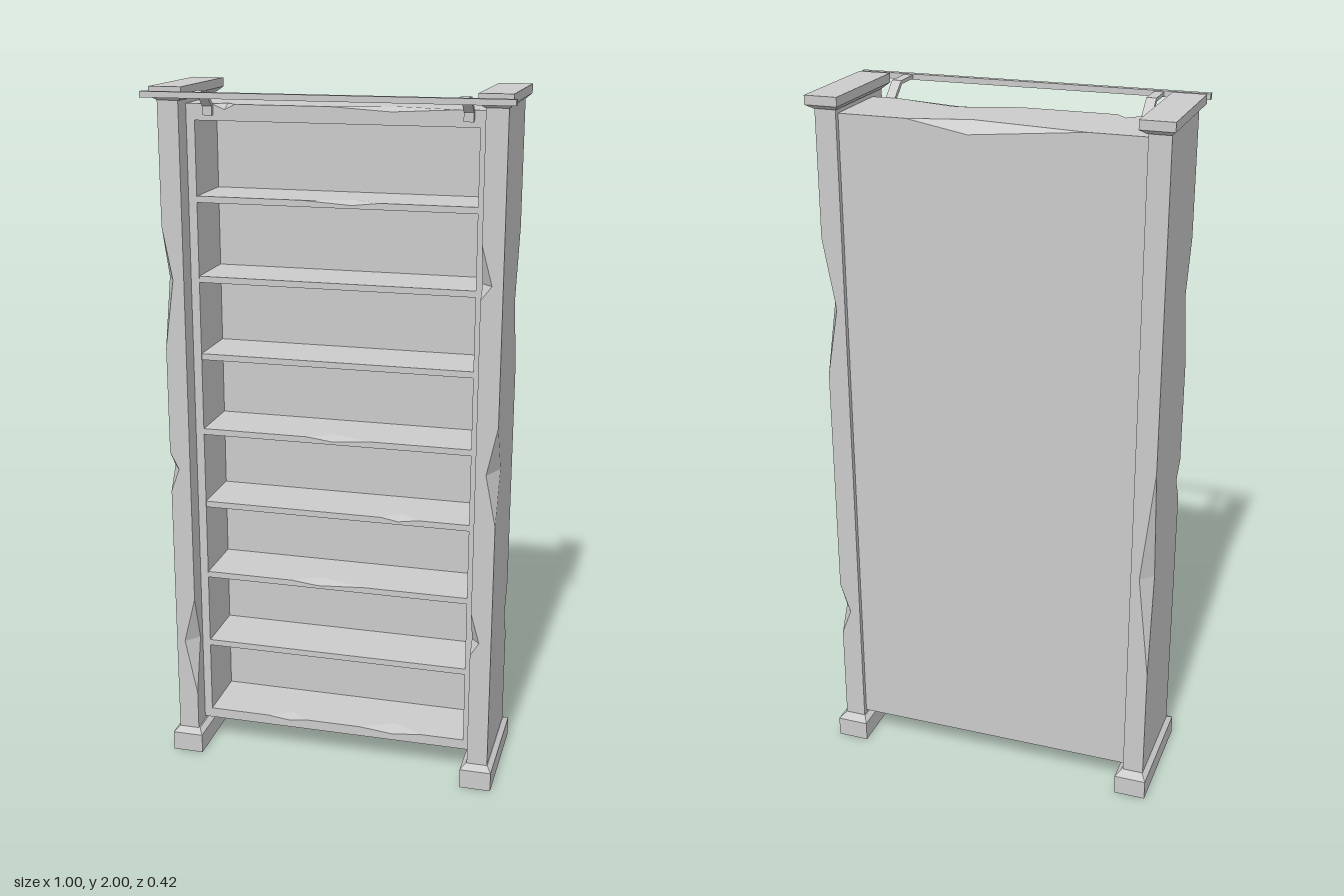
import * as THREE from 'three';

const material = new THREE.MeshStandardMaterial({ color: 0xcccccc, flatShading: true });

// A chip knocked out of one edge: the axis it runs along, the sides (+1/-1) of the box it
// sits on, start/deepest/end positions along the edge, and its inset per axis.
const postChip = (z, x, t, dz, dx) => ({ axis: 1, side: [x, 0, z], t, inset: [dx, 0, dz] });
const boardChip = (z, t, dy, dz) => ({ axis: 0, side: [0, 1, z], t, inset: [0, dy, dz] });

// Box from min to max whose edges carry wedge-shaped chips
function chippedBox(min, max, chips = []) {
  const positions = [];
  const at = (axis, side) => (side > 0 ? max : min)[axis];
  const addTriangle = (a, b, c, outward) => {
    const normal = b.clone().sub(a).cross(c.clone().sub(a));
    const order = normal.dot(outward) < 0 ? [a, c, b] : [a, b, c];
    order.forEach((p) => positions.push(p.x, p.y, p.z));
  };

  for (let n = 0; n < 3; n++) for (const s of [-1, 1]) {
    const u = (n + 1) % 3, v = (n + 2) % 3;
    const outline = [];
    // Walk the four edges: running axis, fixed axis, fixed side, direction
    for (const [a, b, sb, dir] of [[u, v, -1, 1], [v, u, 1, 1], [u, v, 1, -1], [v, u, -1, -1]]) {
      const edgePoint = (t, inset = 0) => {
        const p = [0, 0, 0];
        p[n] = at(n, s);
        p[a] = t;
        p[b] = at(b, sb) - sb * inset;
        return new THREE.Vector3(...p);
      };
      outline.push(edgePoint(at(a, -dir)));
      const notches = chips
        .filter((c) => c.axis === a && c.side[b] === sb && c.side[n] === s)
        .flatMap((c) => c.t.map((t, i) => [t, i === 1 ? c.inset[b] : 0]));
      notches.sort((p, q) => dir * (p[0] - q[0]));
      notches.forEach(([t, inset]) => outline.push(edgePoint(t, inset)));
    }
    const flat = outline.map((p) => new THREE.Vector2(p.getComponent(u), p.getComponent(v)));
    const outward = new THREE.Vector3().setComponent(n, s);
    for (const [i, j, k] of THREE.ShapeUtils.triangulateShape(flat, [])) {
      addTriangle(outline[i], outline[j], outline[k], outward);
    }
  }

  // The two sloping faces inside each chip
  for (const { axis, side, t, inset } of chips) {
    const u = (axis + 1) % 3, v = (axis + 2) % 3;
    const point = (along, du, dv) => {
      const p = [0, 0, 0];
      p[axis] = along;
      p[u] = at(u, side[u]) - side[u] * du;
      p[v] = at(v, side[v]) - side[v] * dv;
      return new THREE.Vector3(...p);
    };
    const p1 = point(t[1], inset[u], 0), p2 = point(t[1], 0, inset[v]);
    for (const end of [t[0], t[2]]) addTriangle(point(end, 0, 0), p1, p2, new THREE.Vector3(...side));
  }

  const geometry = new THREE.BufferGeometry();
  geometry.setAttribute('position', new THREE.Float32BufferAttribute(positions, 3));
  geometry.computeVertexNormals();
  return geometry;
}

// Box whose top and bottom differ in size
function taperedBox(y0, y1, [w0, d0], [w1, d1]) {
  const geometry = new THREE.BoxGeometry(1, y1 - y0, 1).toNonIndexed();
  const p = geometry.attributes.position;
  for (let i = 0; i < p.count; i++) {
    const top = p.getY(i) > 0;
    p.setXYZ(i, p.getX(i) * (top ? w1 : w0), top ? y1 : y0, p.getZ(i) * (top ? d1 : d0));
  }
  geometry.computeVertexNormals();
  return geometry;
}

export function createModel() {
  const model = new THREE.Group();
  const add = (name, geometry, x = 0, z = 0) => {
    const mesh = new THREE.Mesh(geometry, material);
    mesh.name = name;
    mesh.position.set(x, 0, z);
    model.add(mesh);
  };

  // Thick side panels with worn edges
  add('rightSidePanel', chippedBox([-0.486, 0.06, -0.18], [-0.426, 1.97, 0.12], [
    postChip(1, -1, [1.27, 1.47, 1.62], 0.05, 0.028),
    postChip(1, -1, [0.84, 0.91, 0.96], 0.04, 0.026),
    postChip(1, 1, [0.19, 0.36, 0.5], 0.04, 0.035),
    postChip(-1, -1, [0.41, 0.72, 1.05], 0.035, 0.035),
  ]));
  add('leftSidePanel', chippedBox([0.41, 0.06, -0.18], [0.47, 1.97, 0.12], [
    postChip(-1, 1, [1.21, 1.41, 1.61], 0.065, 0.035),
    postChip(-1, 1, [0.36, 0.44, 0.53], 0.04, 0.03),
    postChip(1, 1, [0.82, 0.97, 1.11], 0.068, 0.03),
    postChip(1, -1, [1.46, 1.5, 1.61], 0.03, 0.03),
    postChip(1, -1, [0.42, 0.46, 0.55], 0.03, 0.025),
  ]));

  // Feet and caps, each with a short bevel towards the panel
  const wide = [0.092, 0.35], narrow = [0.064, 0.304];
  for (const [side, x] of [['right', -0.454], ['left', 0.439]]) {
    add(side + 'Foot', taperedBox(0, 0.058, wide, wide), x, -0.032);
    add(side + 'FootBevel', taperedBox(0.058, 0.07, wide, narrow), x, -0.032);
    add(side + 'CapBevel', taperedBox(1.962, 1.975, narrow, wide), x, -0.032);
    add(side + 'Cap', taperedBox(1.975, 2, wide, wide), x, -0.032);
  }

  // Bookcase frame: sides, back, bottom and top
  const front = 0.06, back = -0.165, x0 = -0.402, x1 = 0.387;
  add('rightFrameSide', chippedBox([-0.43, 0.08, back], [x0, 1.905, front]));
  add('leftFrameSide', chippedBox([x1, 0.08, back], [0.415, 1.905, front]));
  add('backPanel', chippedBox([x0, 0.11, back], [x1, 1.905, -0.125]));
  add('bottomBoard', chippedBox([x0, 0.08, back], [x1, 0.11, front], [
    boardChip(1, [-0.22, -0.15, -0.1], 0.008, 0.04),
    boardChip(1, [0.07, 0.17, 0.26], 0.01, 0.05),
  ]));
  add('topBoard', chippedBox([-0.43, 1.905, back], [0.415, 1.95, front], [
    boardChip(-1, [-0.27, 0.05, 0.22], 0.03, 0.043),
    boardChip(1, [-0.02, 0.15, 0.33], 0.01, 0.05),
    boardChip(1, [-0.35, -0.315, -0.285], 0.015, 0.034),
  ]));

  // Shelves, some with a chipped front edge
  const chipSpans = {
    1: [-0.14, -0.06, 0.08],
    2: [0.13, 0.18, 0.24],
    3: [-0.09, -0.02, 0.09],
    6: [-0.1, 0.04, 0.12],
  };
  for (let i = 0; i < 7; i++) {
    const y = 0.343 + i * 0.2258;
    const chips = chipSpans[i] ? [boardChip(1, chipSpans[i], 0.009, 0.045)] : [];
    add('shelf' + (i + 1), chippedBox([x0, y - 0.018, -0.125], [x1, y, front - 0.002], chips));
  }

  // Ladder rail held out in front on two bent brackets
  add('rail', chippedBox([-0.5, 1.976, 0.19], [0.5, 1.992, 0.208]));
  const profile = new THREE.Shape([
    [0.06, 1.92], [0.072, 1.92], [0.072, 1.945], [0.112, 1.979], [0.195, 1.979],
    [0.195, 1.989], [0.107, 1.989], [0.06, 1.95],
  ].map(([z, y]) => new THREE.Vector2(z, y)));
  for (const [name, x] of [['rightRailBracket', -0.361], ['leftRailBracket', 0.358]]) {
    const bracket = new THREE.ExtrudeGeometry(profile, { depth: 0.027, bevelEnabled: false });
    add(name, bracket.rotateY(-Math.PI / 2), x + 0.0135);
  }
  return model;
}
